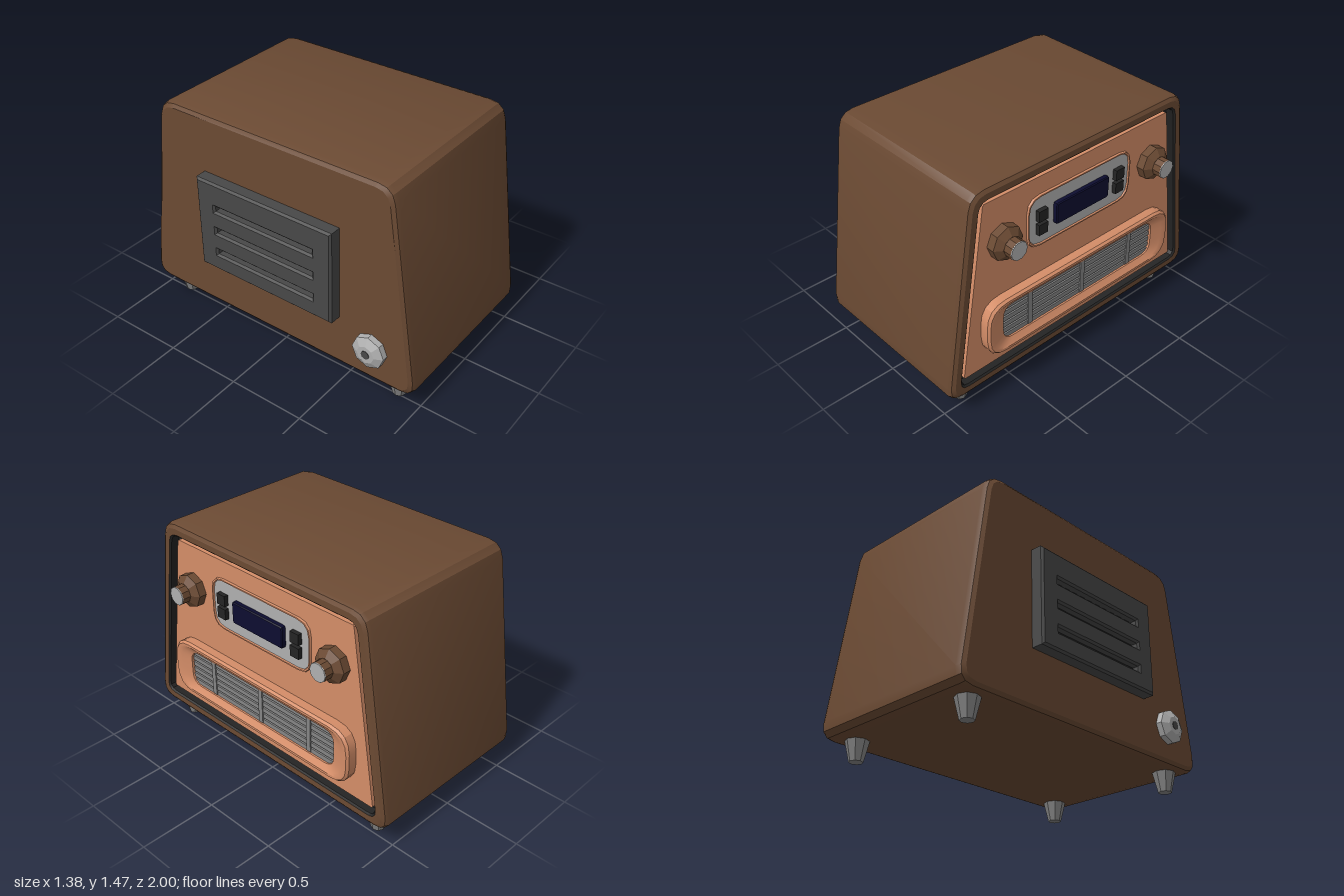
import * as THREE from 'three';
import { toCreasedNormals } from 'three/addons/utils/BufferGeometryUtils.js';

const mat = (name, color, side = THREE.FrontSide) => {
  const m = new THREE.MeshStandardMaterial({ color, side });
  m.name = name;
  return m;
};

// Rounded trapezoid, counter-clockwise seen from +x, as [z, y] points
function outline({ wb, wt, y0, y1, r, n = 3 }, dz = 0, dy = dz) {
  const slope = (wb - wt) / (y1 - y0);
  const b = wb - dz - slope * dy, t = wt - dz + slope * dy;
  const c = [[b, y0 + dy], [-b, y0 + dy], [-t, y1 - dy], [t, y1 - dy]]
    .map(([z, y]) => new THREE.Vector2(z, y));
  const rad = Math.max(r - dz * 0.5, 0.005);
  const pts = [];
  c.forEach((p, i) => {
    const toward = (q) => q.clone().sub(p).setLength(rad).add(p);
    const a = toward(c[(i + 3) % 4]), e = toward(c[(i + 1) % 4]);
    pts.push(...new THREE.QuadraticBezierCurve(a, p, e).getPoints(n));
  });
  return pts;
}

// Skin through outlines at stations [x, insetZ, insetY]
function loft(spec, stations, capStart = false, capEnd = false) {
  const rings = stations.map(([x, dz, dy]) =>
    outline(spec, dz, dy).map((p) => [x, p.y, p.x]));
  const pos = [];
  const tri = (a, b, c) => pos.push(...a, ...b, ...c);
  const n = rings[0].length;
  for (let k = 0; k + 1 < rings.length; k++) {
    const A = rings[k], B = rings[k + 1];
    for (let i = 0; i < n; i++) {
      const j = (i + 1) % n;
      tri(A[i], A[j], B[j]);
      tri(A[i], B[j], B[i]);
    }
  }
  const first = rings[0], last = rings[rings.length - 1];
  for (let i = 1; i + 1 < n; i++) {
    if (capStart) tri(first[0], first[i + 1], first[i]);
    if (capEnd) tri(last[0], last[i], last[i + 1]);
  }
  const g = new THREE.BufferGeometry();
  g.setAttribute('position', new THREE.Float32BufferAttribute(pos, 3));
  g.computeVertexNormals();
  return toCreasedNormals(g, 0.45);
}

export function createModel() {
  const wood = mat('brown casing', 0x6b4a33);
  const coral = mat('coral panel', 0xd48d68);
  const silver = mat('silver', 0xb0b0b0);
  const grey = mat('mid grey', 0x858585);
  const ventGrey = mat('vent grey', 0x484848);
  const dark = mat('near black', 0x242424);
  const navy = mat('display navy', 0x0d0d30);
  const red = mat('dull red', 0xb85550);

  const root = new THREE.Group();
  const add = (name, geo, material, x = 0, y = 0, z = 0) => {
    const m = new THREE.Mesh(geo, material);
    m.name = name;
    m.position.set(x, y, z);
    root.add(m);
    return m;
  };
  const box = (name, material, x0, x1, y, z, h, w) =>
    add(name, new THREE.BoxGeometry(x1 - x0, h, w), material, (x0 + x1) / 2, y, z);
  // Faceted disc or cone along x, from x0 (radius r0) to x1 (radius r1)
  const disc = (name, material, x0, x1, r0, r1, y, z, sides = 8) => {
    const g = new THREE.CylinderGeometry(r1, r0, x1 - x0, sides).rotateZ(-Math.PI / 2);
    add(name, toCreasedNormals(g, 0.3), material, (x0 + x1) / 2, y, z);
  };

  // Casing with bevelled ends, front rim and recess
  const body = { wb: 1.013, wt: 0.822, y0: 0.125, y1: 1.47, r: 0.1 };
  add('casing', loft(body, [
    [-0.605, 0.03], [-0.59, 0.009], [-0.56, 0], [0.54, 0], [0.562, 0.009], [0.575, 0.03], [0.575, 0.068],
  ], true), wood);
  add('recess', loft(body, [[0.575, 0.068], [0.565, 0.078], [0.515, 0.08]], false, true), dark);

  // Control panel in the recess
  const face = { wb: 0.885, wt: 0.72, y0: 0.235, y1: 1.36, r: 0.008, n: 1 };
  add('controlPanel', loft(face, [[0.51, 0], [0.55, 0]], false, true), coral);

  // Display surround, display and buttons
  const bezel = { wb: 0.412, wt: 0.412, y0: 0.903, y1: 1.247, r: 0.095 };
  add('displayLip', loft(bezel, [[0.545, 0], [0.563, 0.004], [0.563, 0.012], [0.553, 0.016]]), coral);
  add('displayPlate', loft(bezel, [[0.55, 0.01], [0.554, 0.01]], false, true), silver);
  const screen = { wb: 0.21, wt: 0.21, y0: 1.005, y1: 1.147, r: 0.015, n: 2 };
  add('display', loft(screen, [[0.55, 0], [0.578, 0], [0.584, 0.006]], false, true), navy);
  for (const z of [-0.305, 0.31])
    for (const y of [1.028, 1.118]) box('button', dark, 0.55, 0.582, y, z, 0.07, 0.068);

  // Knobs
  for (const z of [-0.593, 0.59]) {
    disc('knobBase', wood, 0.545, 0.6, 0.108, 0.108, 1.077, z);
    disc('knobCone', wood, 0.6, 0.632, 0.108, 0.062, 1.077, z);
    disc('knobShaft', wood, 0.632, 0.685, 0.06, 0.06, 1.077, z, 10);
    disc('knobCap', silver, 0.684, 0.69, 0.06, 0.058, 1.077, z, 10);
  }

  // Speaker surround, backing and grille
  const speaker = { wb: 0.752, wt: 0.752, y0: 0.333, y1: 0.706, r: 0.14, n: 4 };
  add('speakerSurround', loft(speaker, [
    [0.545, 0], [0.605, 0], [0.62, 0.012], [0.62, 0.028], [0.612, 0.055, 0.038],
    [0.594, 0.13, 0.066], [0.555, 0.132, 0.068],
  ]), coral);
  box('speakerBacking', red, 0.548, 0.555, 0.52, 0, 0.24, 1.22);
  for (let i = 0; i < 6; i++)
    box('grilleSlat', grey, 0.553, 0.584, 0.416 + i * 0.042, 0, 0.03, 1.23);
  for (const z of [-0.417, -0.012, 0.412])
    box('grillePost', grey, 0.553, 0.591, 0.522, z, 0.232, 0.032);

  // Rear vent with three slots
  const rect = (P, y0, y1, w) => new P([[-w, y0], [w, y0], [w, y1], [-w, y1]]
    .map(([u, v]) => new THREE.Vector2(u, v)));
  const vent = rect(THREE.Shape, 0.495, 1.085, 0.478);
  for (const y of [0.615, 0.768, 0.922]) vent.holes.push(rect(THREE.Path, y - 0.03, y + 0.03, 0.37));
  const ventGeo = new THREE.ExtrudeGeometry(vent, {
    depth: 0.07, bevelThickness: 0.012, bevelSize: 0.013, bevelSegments: 1,
  }).rotateY(-Math.PI / 2);
  add('rearVent', ventGeo, ventGrey, -0.608);
  box('ventBacking', dark, -0.64, -0.6, 0.77, 0, 0.5, 0.86);

  // Rear socket
  disc('socketBase', silver, -0.643, -0.6, 0.108, 0.108, 0.357, 0.715);
  disc('socketCone', silver, -0.668, -0.643, 0.058, 0.108, 0.357, 0.715);
  disc('socketHole', ventGrey, -0.671, -0.667, 0.028, 0.028, 0.357, 0.715);

  // Feet
  for (const x of [-0.475, 0.44])
    for (const z of [-0.835, 0.835]) {
      const g = new THREE.CylinderGeometry(0.076, 0.042, 0.14, 8);
      add('foot', toCreasedNormals(g, 0.3), grey, x, 0.07, z);
    }
  return root;
}
